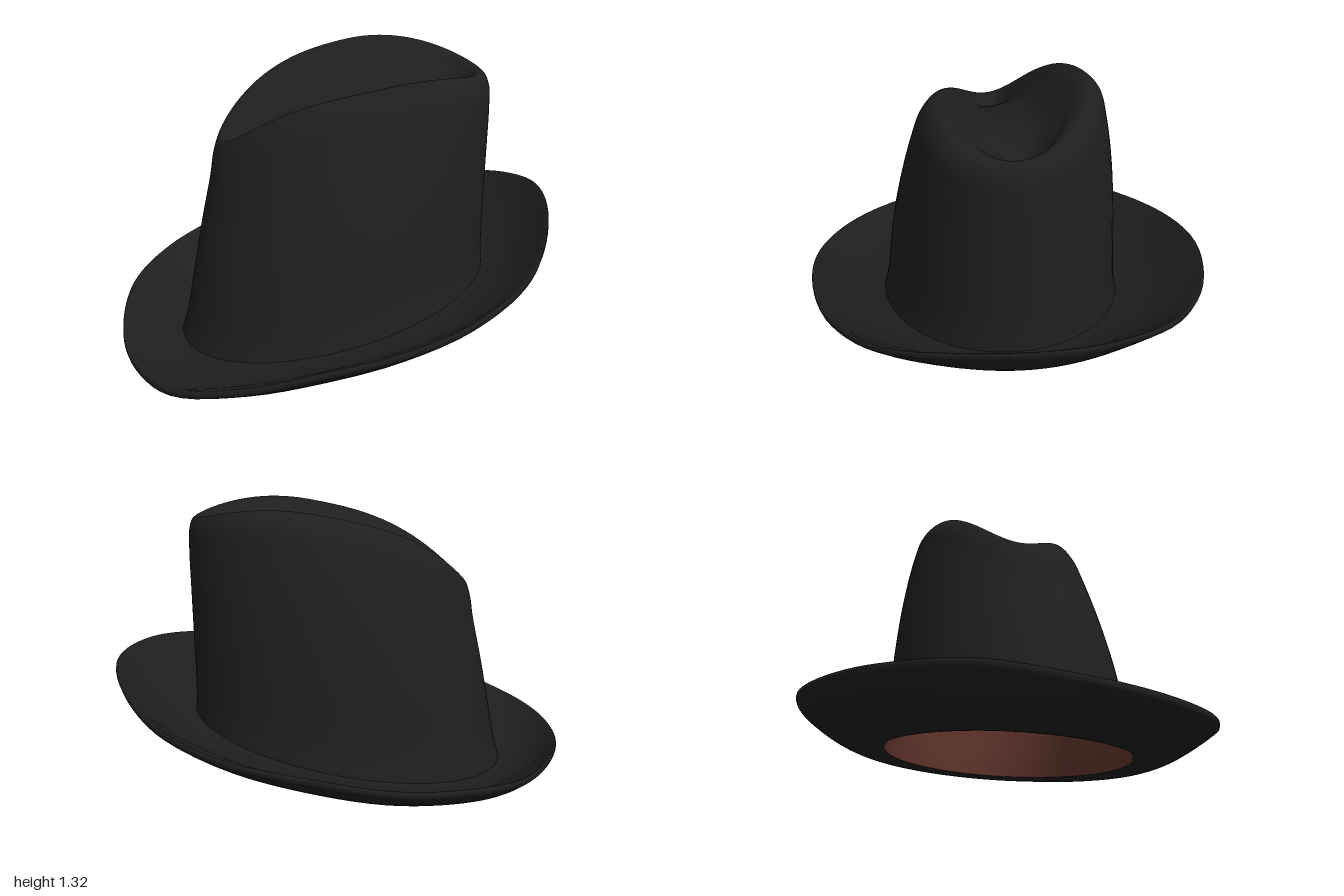
import * as THREE from 'three';
import { mergeVertices } from 'three/addons/utils/BufferGeometryUtils.js';

const SEG = 96;
const INSET = 0.02; // gap between felt and inner faces
const AXIS = THREE.MathUtils.degToRad(-48); // direction from the hat's front to its back
const CU = Math.cos(AXIS), SU = Math.sin(AXIS);

// Tilted plane the hat sits on
const plane = (x, z) => 0.162 + 0.115 * x - 0.17 * z;

// Crown height along the front-to-back axis, a little lower on the left
const ridge = (u, v) => {
  const d = u - 0.15;
  return 1.064 - 0.11 * v - (d < 0 ? 0.72 * Math.abs(d) ** 3 : 0.54 * d * d);
};

// Point from hat axes (u back, v left) and a height above the plane
function place(u, v, h) {
  const x = CU * u - SU * v, z = SU * u + CU * v;
  return new THREE.Vector3(x, plane(x, z) + h, z);
}

// One closed loop of the crown: front end, back end, half width, taper, rise and dent depth
function section([front, back, width, taper, rise, dent], inset = 0) {
  const ring = [];
  const mid = (front + back) / 2, half = (back - front) / 2 - inset;
  const w = Math.max(0, width - inset);
  for (let j = 0; j < SEG; j++) {
    const a = (j / SEG) * Math.PI * 2;
    const u = mid + half * Math.cos(a);
    // the crown twists slightly towards the top
    const v = w * Math.sin(a) * (1 + taper * Math.cos(a)) + (0.1 * u - 0.025) * rise * rise;
    const drop = rise > 0.9 ? inset : 0;
    ring.push(place(u, v, ridge(u, v) * rise - dent - drop));
  }
  return ring;
}

// Resample loops along smooth curves
function smoothRings(rings, count) {
  const columns = rings[0].map((_, j) =>
    new THREE.CatmullRomCurve3(rings.map((r) => r[j])).getPoints(count));
  return Array.from({ length: count + 1 }, (_, i) => columns.map((c) => c[i]));
}

// Skin closed loops into a smooth surface
function loft(rings) {
  const pos = [], index = [];
  rings.forEach((r) => r.forEach((p) => pos.push(p.x, p.y, p.z)));
  for (let i = 0; i < rings.length - 1; i++) {
    for (let j = 0; j < SEG; j++) {
      const k = (j + 1) % SEG;
      const a = i * SEG + j, b = a + SEG, c = i * SEG + k, d = c + SEG;
      index.push(a, b, c, c, b, d);
    }
  }
  let geo = new THREE.BufferGeometry();
  geo.setAttribute('position', new THREE.Float32BufferAttribute(pos, 3));
  geo.setIndex(index);
  geo = mergeVertices(geo, 1e-5);
  geo.computeVertexNormals();
  return geo;
}

// Brim outer edge: x, height, z
const EDGE = new THREE.CatmullRomCurve3([
  [0.928, 0.46, -0.07], [0.83, 0.365, 0.3], [0.66, 0.31, 0.56], [0.455, 0.265, 0.755],
  [0.16, 0.18, 0.925], [-0.155, 0.115, 0.995], [-0.4, 0.115, 0.925], [-0.62, 0.14, 0.765],
  [-0.84, 0.205, 0.45], [-0.928, 0.245, 0.08], [-0.87, 0.3, -0.23], [-0.735, 0.36, -0.52],
  [-0.5, 0.43, -0.77], [-0.19, 0.47, -0.945], [0.13, 0.52, -0.998], [0.43, 0.585, -0.935],
  [0.65, 0.61, -0.795], [0.84, 0.57, -0.485],
].map((p) => new THREE.Vector3(...p)), true, 'centripetal').getSpacedPoints(720);

// Edge point lying in a given direction
function edgeAt(angle) {
  const cx = Math.cos(angle), cz = Math.sin(angle);
  let best = EDGE[0], score = -2;
  for (const p of EDGE) {
    const s = (p.x * cx + p.z * cz) / Math.hypot(p.x, p.z);
    if (s > score) { score = s; best = p; }
  }
  return best;
}

// Brim profile: [0 at crown .. 1 at edge, 0 underside .. 1 upper side]
const BRIM_PROFILE = [];
for (let i = 0; i <= 14; i++) BRIM_PROFILE.push([i / 14 * 0.985, 0]);
BRIM_PROFILE.push([1, 0.35], [0.998, 0.7]);
for (let i = 14; i >= 0; i--) BRIM_PROFILE.push([i / 14 * 0.98, 1]);

// Crown loops from the base, over the ridge and down into the crease
const WALL = [
  [-0.725, 0.7, 0.54, 0, 0, 0],
  [-0.695, 0.692, 0.515, 0, 0.12, 0],
  [-0.645, 0.69, 0.485, 0.02, 0.42, 0],
];
const UPPER = [
  [-0.6, 0.69, 0.45, 0.06, 0.65, 0],
  [-0.55, 0.69, 0.405, 0.1, 0.85, 0],
  [-0.53, 0.685, 0.37, 0.13, 0.95, 0],
  [-0.505, 0.665, 0.32, 0.14, 0.995, 0],
  [-0.485, 0.635, 0.27, 0.14, 1, 0.012],
  [-0.46, 0.595, 0.2, 0.13, 1, 0.07],
  [-0.43, 0.54, 0.1, 0.1, 1, 0.135],
  [-0.4, 0.49, 0, 0, 1, 0.145],
];

function brimRings() {
  const inner = section(WALL[0], INSET);
  const edges = inner.map((p) => edgeAt(Math.atan2(p.z, p.x)));
  const thick = 0.035;
  return BRIM_PROFILE.map(([q, t]) => inner.map((p, j) => {
    const e = edges[j];
    const x = THREE.MathUtils.lerp(p.x, e.x, q), z = THREE.MathUtils.lerp(p.z, e.z, q);
    const curl = (e.y - thick - plane(e.x, e.z)) * q * q;
    const belly = 0.022 * Math.sin(Math.PI * Math.sqrt(q)) * (1 - t);
    return new THREE.Vector3(x, plane(x, z) + curl - belly + thick * t, z);
  }));
}

export function createModel() {
  const felt = new THREE.MeshStandardMaterial({ color: 0x1f1f1f });
  felt.name = 'blackFelt';
  const leather = new THREE.MeshStandardMaterial({ color: 0x62362d });
  leather.name = 'brownLeather';
  const satin = new THREE.MeshStandardMaterial({ color: 0xcfc8c4 });
  satin.name = 'paleSatin';

  const hat = new THREE.Group();
  hat.name = 'hat';
  const add = (name, rings, material) => {
    const mesh = new THREE.Mesh(loft(rings), material);
    mesh.name = name;
    hat.add(mesh);
  };

  add('brim', brimRings(), felt);
  add('crown', smoothRings([...WALL, ...UPPER].map((s) => section(s)), 60), felt);

  // Inside faces run from top to bottom so they face inward
  const inside = (keys) => keys.map((s) => section(s, INSET)).reverse();
  add('sweatband', smoothRings(inside(WALL), 10), leather);
  add('lining', smoothRings(inside([WALL[2], ...UPPER]), 40), satin);
  return hat;
}
